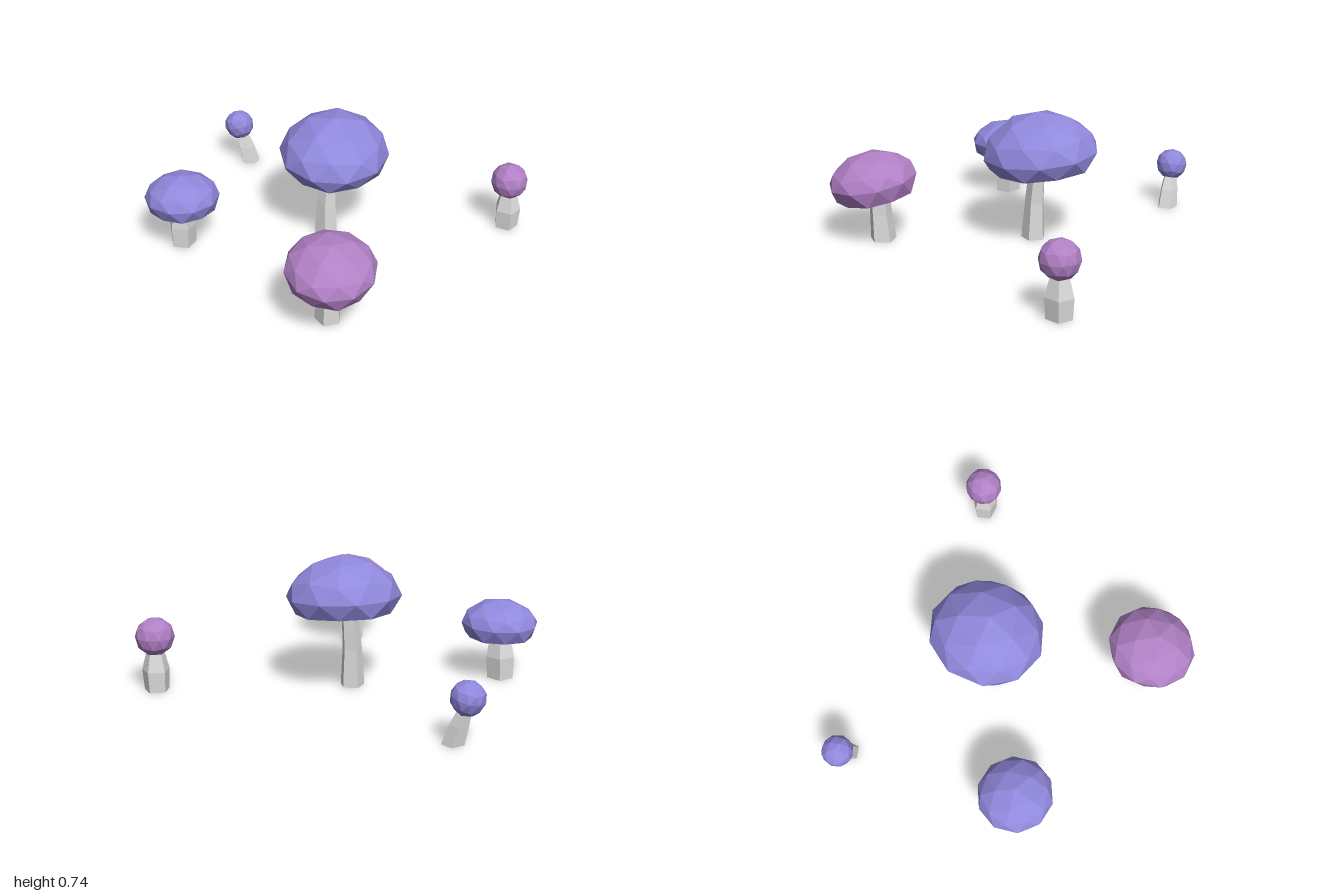
import * as THREE from 'three';

const mat = (name, color, side = THREE.FrontSide) => {
  const m = new THREE.MeshStandardMaterial({ color, flatShading: true, side });
  m.name = name;
  return m;
};

// Faceted cap: an icosphere with a domed top and a levelled underside
function capGeometry({ size: [rx, top, bottom, rz], slope, flare, limit }) {
  const g = new THREE.IcosahedronGeometry(1, 1);
  g.rotateZ(0.5536); // a vertex points straight up
  const p = g.attributes.position;
  for (let i = 0; i < p.count; i++) {
    const y = p.getY(i);
    const f = y < -0.1 ? flare : 1;
    const h = y > 0 ? Math.pow(y, slope) * top : -bottom * Math.min(1, -y / limit);
    p.setXYZ(i, p.getX(i) * rx * f, h, p.getZ(i) * rz * f);
  }
  g.computeVertexNormals();
  return g;
}

// Five-sided open stem through rings of [x, y, z, radius], lowest first
function stemGeometry(rings, turn) {
  const n = rings.length - 1;
  const g = new THREE.CylinderGeometry(1, 1, n, 5, n, true).rotateY(turn).toNonIndexed();
  const p = g.attributes.position;
  for (let i = 0; i < p.count; i++) {
    const [x, y, z, r] = rings[Math.round(p.getY(i) + n / 2)];
    p.setXYZ(i, x + p.getX(i) * r, y, z + p.getZ(i) * r);
  }
  g.computeVertexNormals();
  return g;
}

export function createModel() {
  const blue = mat('blueCap', 0x9088dc);
  const purple = mat('purpleCap', 0xb180c5);
  const pale = mat('paleStem', 0xdadada, THREE.DoubleSide);

  const wide = { slope: 1.25, flare: 1, limit: 0.447 };
  const round = { slope: 1, flare: 1, limit: 0.83 };
  const mushrooms = [
    { name: 'tallMushroom', color: blue, ...wide, at: [-0.013, 0.525, -0.255],
      size: [0.312, 0.225, 0.085, 0.325], tilt: [0.08, 0.05, -0.06], turn: 0.3,
      stem: [[-0.038, 0.005, -0.21, 0.069], [-0.04, 0.22, -0.215, 0.056], [-0.033, 0.47, -0.235, 0.045]] },
    { name: 'frontMushroom', color: purple, ...wide, at: [0.365, 0.367, 0.588],
      size: [0.245, 0.153, 0.09, 0.25], tilt: [0.15, 0.3, -0.1], turn: 0.1,
      stem: [[0.335, 0.005, 0.55, 0.075], [0.338, 0.16, 0.56, 0.065], [0.345, 0.33, 0.57, 0.058]] },
    { name: 'sideMushroom', color: blue, ...wide, at: [-0.722, 0.325, 0.26],
      size: [0.213, 0.13, 0.073, 0.21], tilt: [0, 0.2, 0.02], turn: 0.95,
      stem: [[-0.735, 0.005, 0.26, 0.075], [-0.733, 0.13, 0.26, 0.081], [-0.725, 0.29, 0.272, 0.05]] },
    { name: 'smallBlueMushroom', color: blue, ...round, at: [-0.912, 0.256, -0.745],
      size: [0.09, 0.085, 0.083, 0.09], tilt: [0, 0.4, 0.25], turn: 0.95,
      stem: [[-0.839, 0.005, -0.748, 0.06], [-0.868, 0.11, -0.747, 0.052], [-0.903, 0.21, -0.745, 0.035]] },
    { name: 'smallPurpleMushroom', color: purple, ...round, at: [0.89, 0.31, -0.73],
      size: [0.107, 0.105, 0.091, 0.107], tilt: [0.03, 0.2, 0], turn: 0.63,
      stem: [[0.89, 0.005, -0.732, 0.07], [0.892, 0.12, -0.732, 0.077], [0.89, 0.25, -0.732, 0.043]] },
  ];

  const model = new THREE.Group();
  model.name = 'mushroomPatch';
  for (const m of mushrooms) {
    const group = new THREE.Group();
    group.name = m.name;
    const cap = new THREE.Mesh(capGeometry(m), m.color);
    cap.name = 'cap';
    cap.position.set(...m.at);
    cap.rotation.set(m.tilt[0], m.tilt[1], m.tilt[2], 'XZY'); // yaw first, then lean
    const stem = new THREE.Mesh(stemGeometry(m.stem, m.turn), pale);
    stem.name = 'stem';
    group.add(cap, stem);
    model.add(group);
  }
  return model;
}
